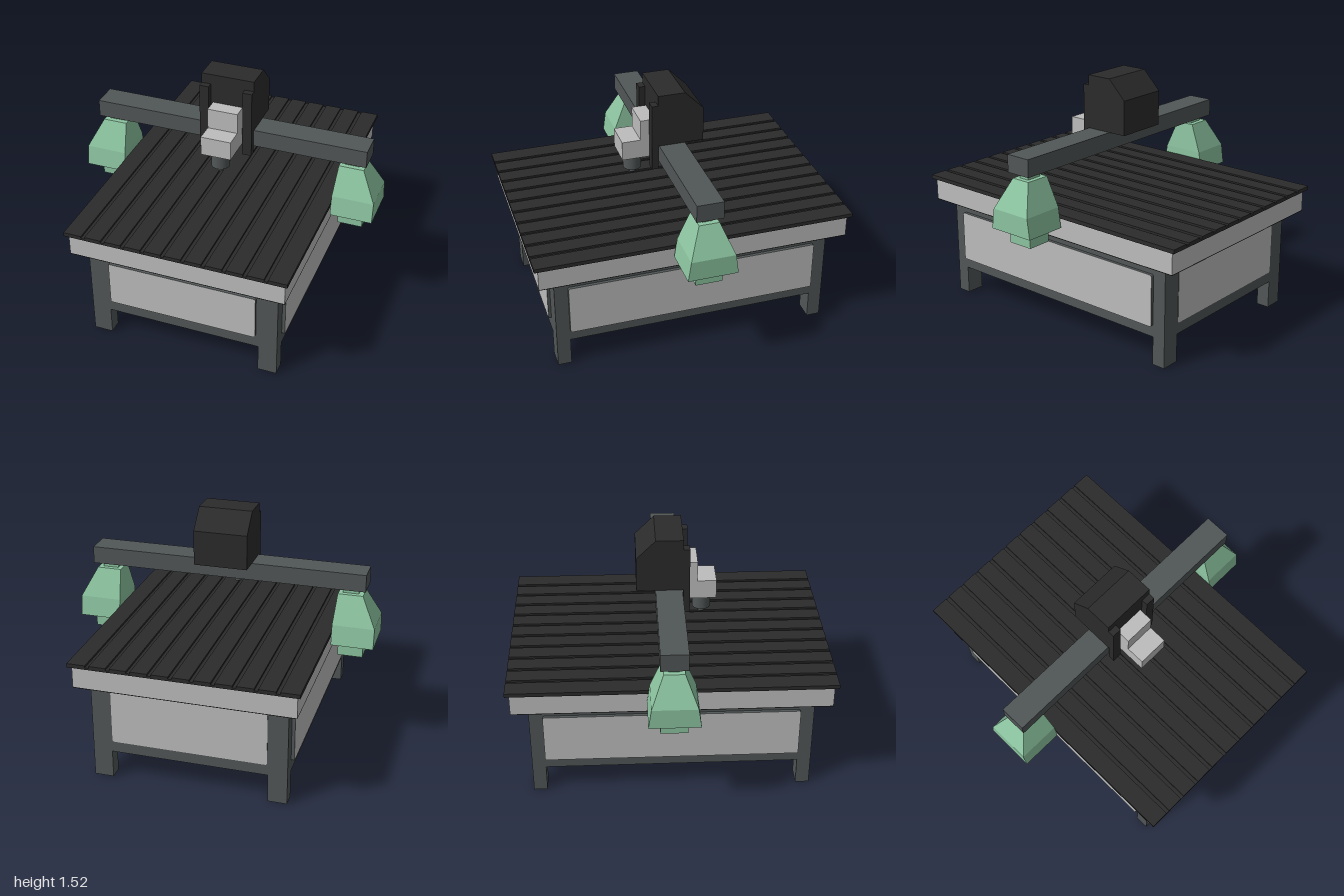
import * as THREE from 'three';

const mat = (name, color) => {
  const m = new THREE.MeshStandardMaterial({ color });
  m.name = name;
  return m;
};

export function createModel() {
  const slate = mat('slate grey', 0x515656);
  const black = mat('black', 0x2b2b2b);
  const light = mat('light grey', 0xbdbdbd);
  const green = mat('soft green', 0x8cc4a0);

  const model = new THREE.Group();
  model.name = 'cncRouter';

  const add = (name, geometry, material) => {
    const mesh = new THREE.Mesh(geometry, material);
    mesh.name = name;
    model.add(mesh);
    return mesh;
  };
  // box given by its limits on each axis
  const box = (name, material, [x0, x1], [y0, y1], [z0, z1]) => {
    const mesh = add(name, new THREE.BoxGeometry(x1 - x0, y1 - y0, z1 - z0), material);
    mesh.position.set((x0 + x1) / 2, (y0 + y1) / 2, (z0 + z1) / 2);
    return mesh;
  };
  // rounded door panel: light face, dark rim
  const panel = (name, halfWidth, y0, y1, depth, turn, distance) => {
    const r = 0.012, w = halfWidth;
    const s = new THREE.Shape();
    s.absarc(w - r, y0 + r, r, -Math.PI / 2, 0);
    s.absarc(w - r, y1 - r, r, 0, Math.PI / 2);
    s.absarc(-w + r, y1 - r, r, Math.PI / 2, Math.PI);
    s.absarc(-w + r, y0 + r, r, Math.PI, Math.PI * 1.5);
    const g = new THREE.ExtrudeGeometry(s, { depth, bevelEnabled: false, curveSegments: 4 });
    g.translate(0, 0, distance);
    g.rotateY(turn);
    add(name, g, [light, slate]);
  };

  // cabinet and legs
  box('cabinet', slate, [-0.61, 0.61], [0.18, 0.645], [-0.875, 0.875]);
  for (const sx of [-1, 1]) {
    for (const sz of [-1, 1]) {
      const leg = box('leg', slate, [0.49, 0.61], [0, 0.18], [0.79, 0.875]);
      leg.position.x *= sx;
      leg.position.z *= sz;
    }
  }
  panel('frontPanel', 0.475, 0.262, 0.555, 0.018, 0, 0.875);
  panel('backPanel', 0.485, 0.25, 0.59, 0.003, Math.PI, 0.875);
  panel('leftPanel', 0.79, 0.25, 0.575, 0.02, Math.PI / 2, 0.61);
  panel('rightPanel', 0.79, 0.25, 0.575, 0.02, -Math.PI / 2, 0.61);

  // table with grooved top
  box('tableUnderside', black, [-0.68, 0.68], [0.642, 0.647], [-0.975, 0.975]);
  box('tableApron', light, [-0.68, 0.68], [0.647, 0.785], [-0.975, 0.975]);
  box('tableBase', black, [-0.7, 0.7], [0.785, 0.798], [-1, 1]);
  const grooves = 10, pitch = 0.1275, gap = 0.024;
  for (let i = 0; i <= grooves; i++) {
    const centre = (k) => (k - (grooves - 1) / 2) * pitch;
    const x0 = i === 0 ? -0.7 : centre(i - 1) + gap / 2;
    const x1 = i === grooves ? 0.7 : centre(i) - gap / 2;
    box('tableSlat', black, [x0, x1], [0.798, 0.81], [-1, 1]);
  }

  // gantry supports: tapered housing lofted through three rectangles
  const housing = (sx) => {
    // inner x, outer x, y, half depth
    const rings = [[0.70, 0.965, 0.727, 0.155], [0.70, 0.965, 0.855, 0.137], [0.715, 0.872, 1.037, 0.063]]
      .map(([a, b, y, d]) => {
        const [l, r] = sx > 0 ? [a, b] : [-b, -a];
        return [[l, y, d], [r, y, d], [r, y, -d], [l, y, -d]];
      });
    const pos = [];
    const quad = (a, b, c, d) => pos.push(...a, ...b, ...c, ...a, ...c, ...d);
    for (let k = 0; k < 2; k++) {
      for (let i = 0; i < 4; i++) {
        const j = (i + 1) % 4;
        quad(rings[k][i], rings[k][j], rings[k + 1][j], rings[k + 1][i]);
      }
    }
    quad(...rings[2]);
    quad(...[...rings[0]].reverse());
    const g = new THREE.BufferGeometry();
    g.setAttribute('position', new THREE.Float32BufferAttribute(pos, 3));
    g.computeVertexNormals();
    return g;
  };
  for (const sx of [-1, 1]) {
    add('supportHousing', housing(sx), green);
    const neck = box('supportNeck', green, [0.742, 0.842], [1.03, 1.075], [-0.033, 0.033]);
    const foot = box('supportFoot', green, [0.733, 0.89], [0.632, 0.73], [-0.083, 0.083]);
    neck.position.x *= sx;
    foot.position.x *= sx;
  }

  // gantry beam
  box('gantryBeam', slate, [-0.89, 0.89], [1.073, 1.184], [-0.082, 0.084]);

  // carriage cover with sloped back edge, drawn in z and y
  const side = new THREE.Shape([[0.09, 1.184], [0.09, 1.525], [-0.08, 1.525], [-0.2, 1.405], [-0.2, 1.184]]
    .map(([z, y]) => new THREE.Vector2(-z, y)));
  const cover = new THREE.ExtrudeGeometry(side, { depth: 0.34, bevelEnabled: false });
  cover.translate(0, 0, -0.17);
  cover.rotateY(Math.PI / 2);
  add('carriageCover', cover, black);

  // vertical rails and spindle carriage
  box('rightRail', black, [-0.17, -0.11], [1.025, 1.46], [0.09, 0.13]);
  box('leftRail', black, [0.11, 0.17], [1.025, 1.46], [0.09, 0.13]);
  box('spindleSlide', light, [-0.097, 0.097], [1.08, 1.335], [0.088, 0.182]);
  box('spindleMount', light, [-0.097, 0.097], [1.08, 1.203], [0.182, 0.3]);

  // spindle and cutter
  add('spindle', new THREE.CylinderGeometry(0.058, 0.058, 0.11, 32), slate).position.set(0, 1.03, 0.213);
  add('cutter', new THREE.CylinderGeometry(0.021, 0.021, 0.04, 24), slate).position.set(0, 0.96, 0.213);

  return model;
}
